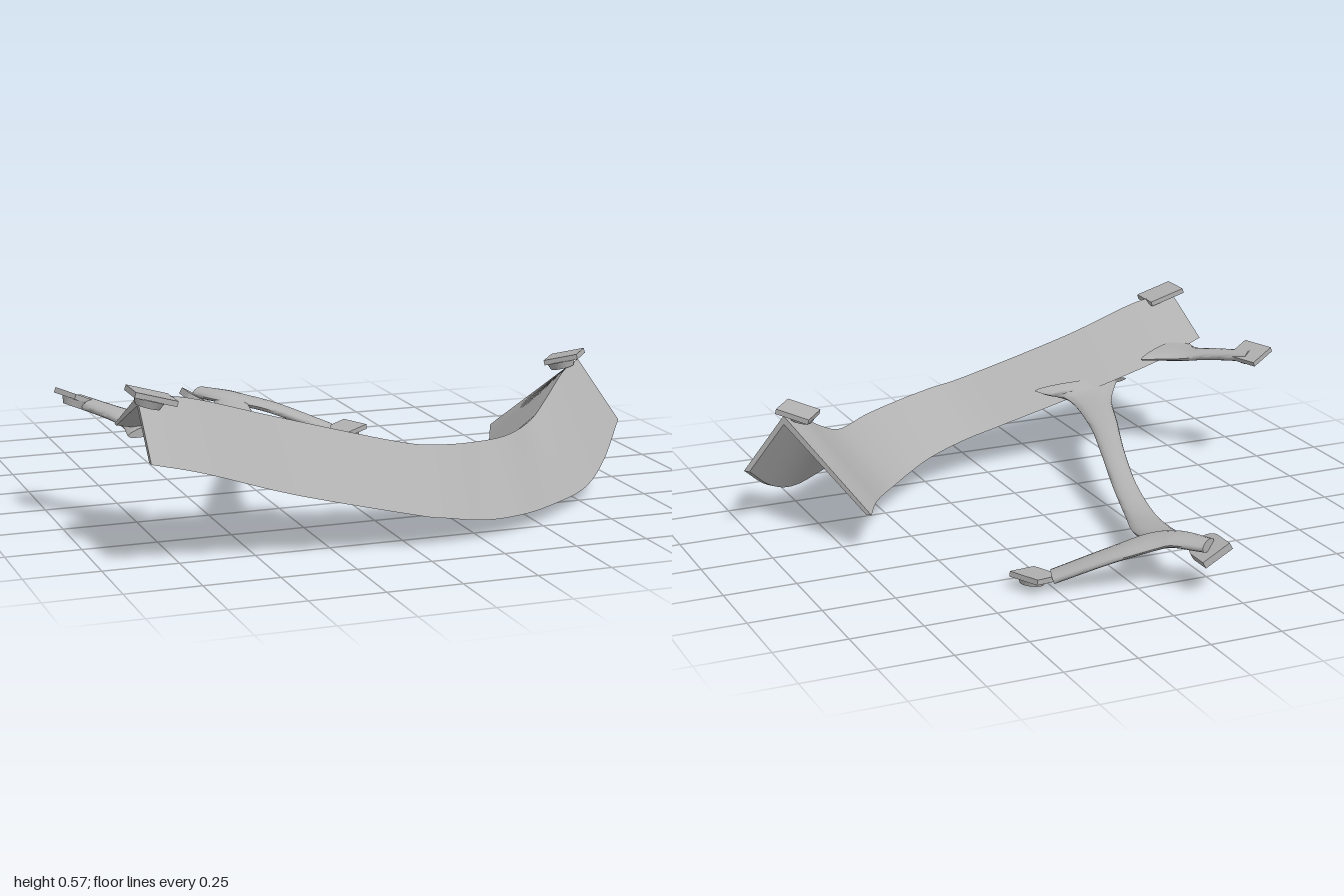
import * as THREE from 'three';
import { toCreasedNormals } from 'three/addons/utils/BufferGeometryUtils.js';

const V = (p) => new THREE.Vector3(p[0], p[1], p[2]);
const curve = (pts) => new THREE.CatmullRomCurve3(pts.map(V), false, 'catmullrom');

// Closed skin through a list of equally sized point loops, with both ends capped
function loft(loops, crease) {
  const n = loops[0].length, pos = [], idx = [];
  loops.forEach((l) => l.forEach((p) => pos.push(p.x, p.y, p.z)));
  for (let i = 0; i < loops.length - 1; i++) {
    for (let j = 0; j < n; j++) {
      const a = i * n + j, b = i * n + (j + 1) % n;
      idx.push(a, a + n, b, b, a + n, b + n);
    }
  }
  [0, loops.length - 1].forEach((end) => {
    const c = pos.length / 3;
    const mid = loops[end].reduce((s, p) => s.add(p), new THREE.Vector3()).divideScalar(n);
    // The centre of a bent section lies off it, so bent (6-point) loops are capped as two quads
    if (n === 6) {
      const o = end * n;
      const caps = [0, 1, 4, 0, 4, 5, 1, 2, 3, 1, 3, 4];
      idx.push(...(end ? caps.slice().reverse() : caps).map((k) => o + k));
      return;
    }
    pos.push(mid.x, mid.y, mid.z);
    for (let j = 0; j < n; j++) {
      const a = end * n + j, b = end * n + (j + 1) % n;
      if (end) idx.push(c, a, b); else idx.push(c, b, a);
    }
  });
  const g = new THREE.BufferGeometry();
  g.setAttribute('position', new THREE.Float32BufferAttribute(pos, 3));
  g.setIndex(idx);
  return toCreasedNormals(g, crease);
}

// Flat rounded strut; each point is x, y, z, half width
function strut(pts, thick) {
  const path = curve(pts);
  const widths = curve(pts.map((p) => [p[3], 0, 0]));
  const loops = [];
  for (let i = 0; i <= 40; i++) {
    const t = i / 40, p = path.getPoint(t), d = path.getTangent(t);
    const w = widths.getPoint(t).x;
    const side = new THREE.Vector3(-d.z, 0, d.x).normalize();
    const up = new THREE.Vector3().crossVectors(side, d).normalize();
    const loop = [];
    for (let j = 0; j < 16; j++) {
      const a = -j / 16 * Math.PI * 2;
      loop.push(p.clone().addScaledVector(side, Math.cos(a) * w).addScaledVector(up, Math.sin(a) * thick));
    }
    loops.push(loop);
  }
  return loft(loops, 1.0);
}

export function createModel() {
  const group = new THREE.Group();
  const grey = new THREE.MeshStandardMaterial({ color: 0xb0b0b0, side: THREE.DoubleSide });
  grey.name = 'plain grey';
  const add = (name, geo, parent = group) => {
    const m = new THREE.Mesh(geo, grey);
    m.name = name;
    parent.add(m);
    return m;
  };

  // Tent-shaped curved band: front lower edge, ridge, back lower edge
  const outer = curve([[-0.88, 0.37, 0.91], [-0.7, 0.32, 0.89], [-0.4, 0.22, 0.87], [0, 0.12, 0.88],
    [0.1, 0.1, 0.875], [0.25, 0.07, 0.84], [0.4, 0.06, 0.79], [0.55, 0.055, 0.7],
    [0.75, 0.055, 0.54], [0.88, 0.11, 0.42], [1, 0.22, 0.29]]);
  const ridge = curve([[-0.87, 0.54, 0.72], [-0.7, 0.52, 0.71], [-0.4, 0.43, 0.69], [0, 0.32, 0.7],
    [0.15, 0.295, 0.69], [0.3, 0.28, 0.64], [0.45, 0.272, 0.56], [0.6, 0.28, 0.42],
    [0.7, 0.33, 0.33], [0.8, 0.4, 0.25], [0.88, 0.43, 0.2]]);
  const inner = curve([[-0.89, 0.41, 0.52], [-0.7, 0.36, 0.47], [-0.4, 0.28, 0.46], [-0.05, 0.18, 0.49],
    [0.1, 0.15, 0.475], [0.25, 0.12, 0.43], [0.36, 0.1, 0.36], [0.46, 0.09, 0.27],
    [0.54, 0.1, 0.17], [0.61, 0.12, 0.05], [0.68, 0.14, -0.1]]);
  const loops = [];
  for (let i = 0; i <= 80; i++) {
    const o = outer.getPoint(i / 80), r = ridge.getPoint(i / 80), n = inner.getPoint(i / 80);
    const across = n.clone().sub(o).setY(0).normalize().multiplyScalar(0.022);
    loops.push([o, r, n, n.clone().sub(across), r.clone().setY(r.y - 0.03), o.clone().add(across)]);
  }
  add('curvedBand', loft(loops, 0.6));

  // Long arm to the back, its cross bar, and the short side arm
  add('backArm', strut([[-0.385, 0.29, 0.51, 0.19], [-0.385, 0.262, 0.43, 0.085], [-0.33, 0.235, 0.2, 0.053],
    [-0.27, 0.2, 0, 0.043], [-0.22, 0.145, -0.2, 0.043], [-0.18, 0.11, -0.4, 0.052],
    [-0.135, 0.125, -0.58, 0.066], [-0.11, 0.155, -0.74, 0.06]], 0.02));
  add('crossBar', strut([[-0.19, 0.165, -0.87, 0.045], [-0.1, 0.16, -0.755, 0.065],
    [0.05, 0.12, -0.705, 0.055], [0.25, 0.04, -0.625, 0.045]], 0.02));
  add('sideArm', strut([[-0.73, 0.385, 0.51, 0.16], [-0.785, 0.385, 0.42, 0.075],
    [-0.84, 0.4, 0.34, 0.045], [-0.93, 0.42, 0.2, 0.035]], 0.02));

  // Tilted end clips: a flat tile over a rounded foot
  const clips = [
    ['frontRightClip', [-0.825, 0.54, 0.725], 0, -0.28, 0.14, 0.12],
    ['sideArmClip', [-0.93, 0.43, 0.2], 0.3, -0.42, 0.1, 0.13],
    ['leftEndClip', [0.83, 0.44, 0.195], -0.67, 0.25, 0.12, 0.12],
    ['crossBarClip', [0.3, 0.042, -0.6], 0.43, 0.15, 0.12, 0.12],
  ];
  for (const [name, at, yaw, tilt, w, d] of clips) {
    const clip = new THREE.Group();
    clip.name = name;
    clip.position.set(...at);
    clip.rotation.set(0, yaw, tilt, 'YZX');
    add('clipTile', new THREE.BoxGeometry(w, 0.018, d), clip);
    const foot = add('clipFoot', new THREE.CylinderGeometry(0.05, 0.04, 0.025, 24), clip);
    foot.position.set(-0.01, -0.02, 0.02);
    group.add(clip);
  }

  // Rounded clip at the far corner: half disc with a straight end
  const shape = new THREE.Shape();
  shape.moveTo(-0.055, 0.07);
  shape.lineTo(-0.055, -0.01);
  shape.absarc(0, -0.01, 0.055, Math.PI, Math.PI * 2, false);
  shape.lineTo(0.055, 0.07);
  const disc = new THREE.ExtrudeGeometry(shape, { depth: 0.025, bevelEnabled: false, curveSegments: 16 });
  disc.rotateX(-Math.PI / 2);
  const far = add('farCornerClip', toCreasedNormals(disc, 0.6));
  far.position.set(-0.21, 0.13, -0.84);
  far.rotation.set(0, 0, -0.5);
  return group;
}
